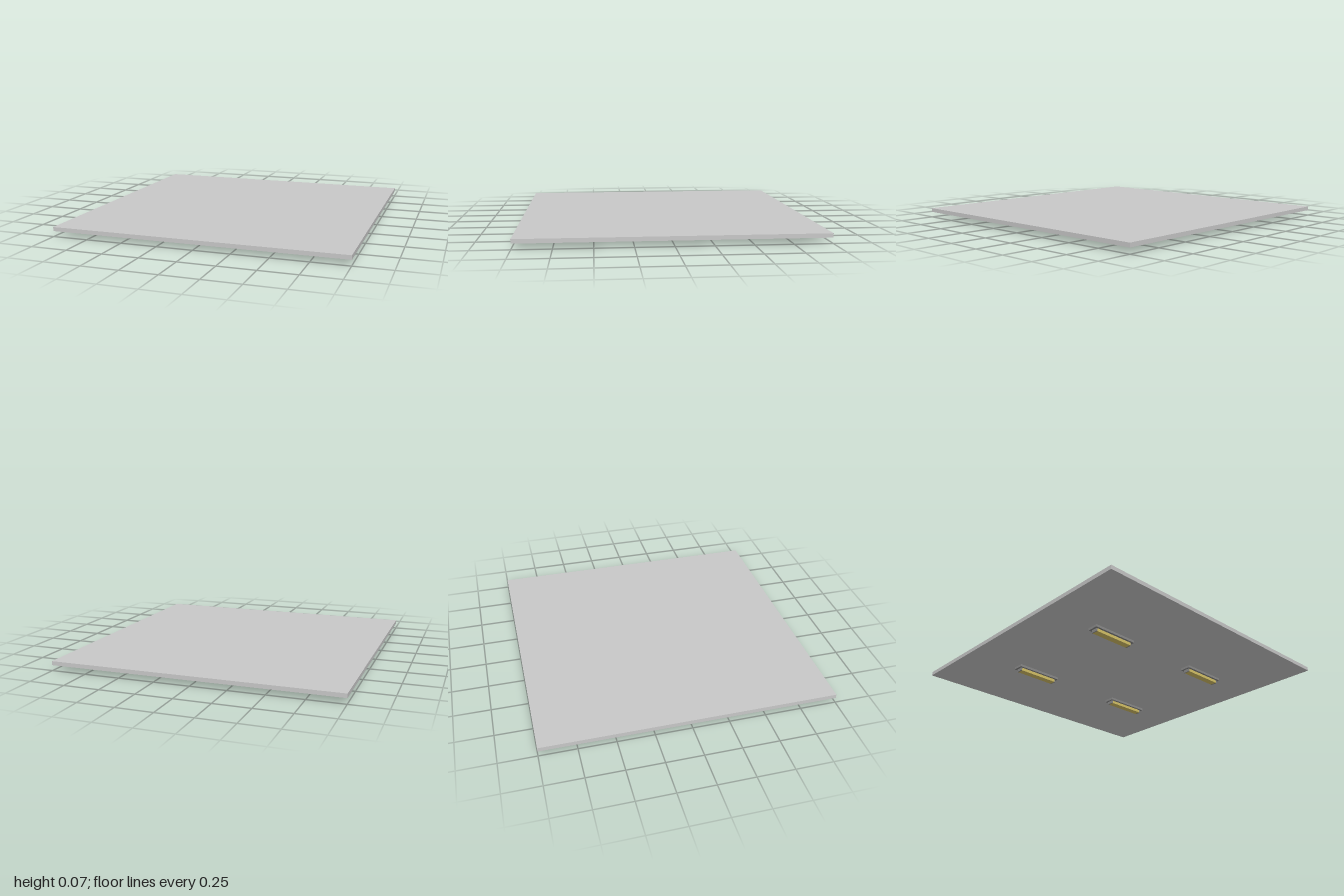
import * as THREE from 'three';

export function createModel() {
  const group = new THREE.Group();
  group.name = 'ceilingPanel';

  const material = (name, color) => {
    const m = new THREE.MeshStandardMaterial({ color });
    m.name = name;
    return m;
  };
  const panelGrey = material('panelGrey', 0xc8c8c8);
  const fixtureGrey = material('fixtureGrey', 0x8c8c8c);
  const lampYellow = material('lampYellow', 0xd8c468);

  // Box spanning y0 to y1, centred on x and z
  const box = (parent, name, mat, width, depth, y0, y1, x = 0, z = 0) => {
    const mesh = new THREE.Mesh(new THREE.BoxGeometry(width, y1 - y0, depth), mat);
    mesh.name = name;
    mesh.position.set(x, (y0 + y1) / 2, z);
    parent.add(mesh);
  };

  // Flat square slab
  box(group, 'panel', panelGrey, 2, 2, 0.038, 0.066);

  // Four lamps hanging below: mounting plate, glowing bar and two end caps
  for (const sx of [-1, 1]) {
    for (const sz of [-1, 1]) {
      const lamp = new THREE.Group();
      lamp.name = 'lamp';
      lamp.position.set(sx * 0.454, 0, sz * 0.415);
      box(lamp, 'mountingPlate', fixtureGrey, 0.345, 0.078, 0.021, 0.038);
      box(lamp, 'lampBar', lampYellow, 0.3, 0.048, 0, 0.021);
      for (const end of [-1, 1]) {
        box(lamp, 'endCap', fixtureGrey, 0.008, 0.048, 0, 0.021, end * 0.154);
      }
      group.add(lamp);
    }
  }
  return group;
}
